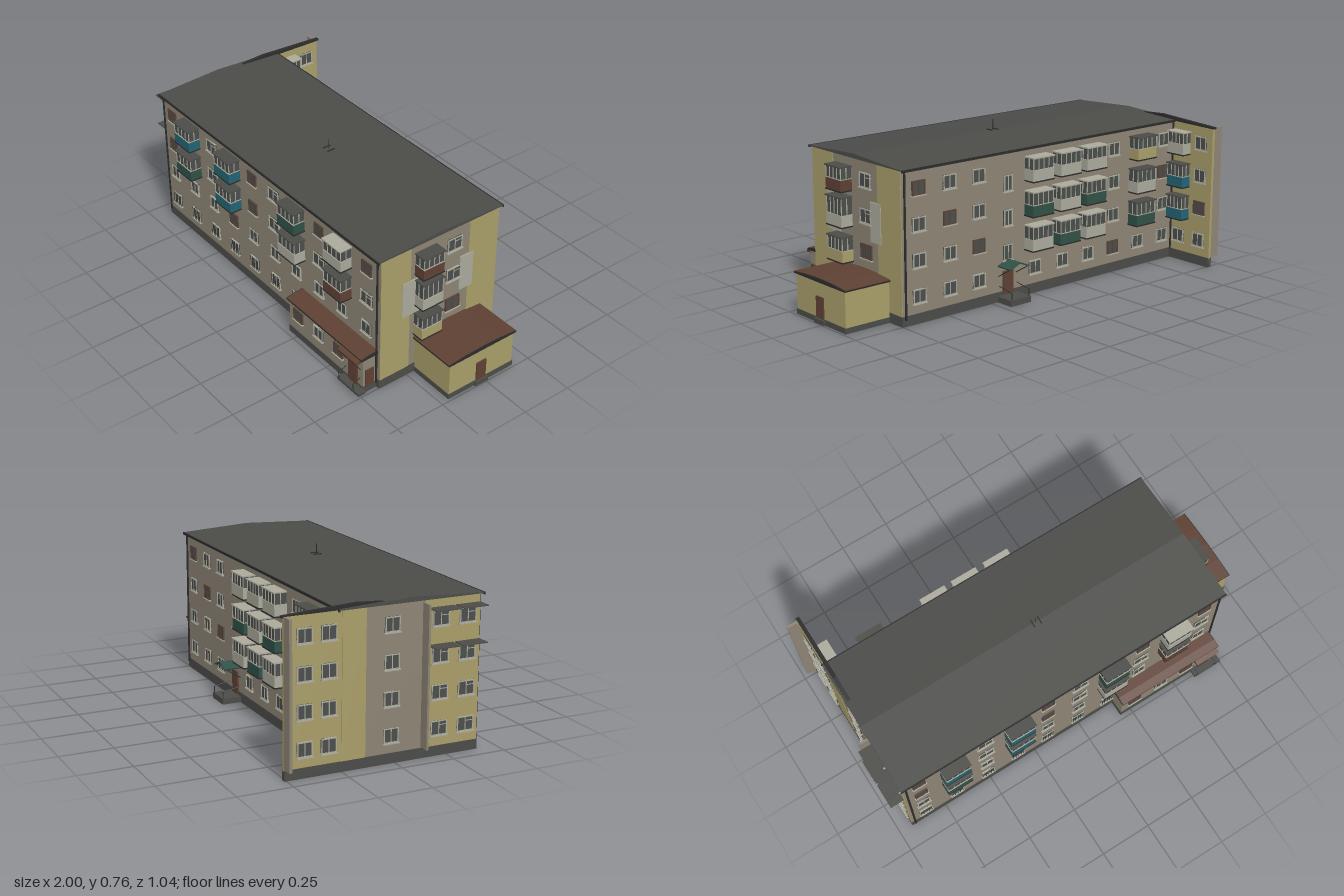
import * as THREE from 'three';

const mat = (name, color) => new THREE.MeshStandardMaterial({ name, color });
const M = {
  wall: mat('greyBeigeWall', 0x8c8474),
  yellow: mat('yellowWall', 0xa89d69),
  roof: mat('greyRoof', 0x4b4c48),
  dark: mat('darkTrim', 0x2b2c2b),
  light: mat('lightPaint', 0xaaa99b),
  glass: mat('windowGlass', 0x4a4e4b),
  brown: mat('brownPaint', 0x5e4033),
  green: mat('greenPaint', 0x2f5046),
  blue: mat('bluePaint', 0x236273),
};

// Box given by its minimum and maximum on each axis
function box(parent, name, m, x0, x1, y0, y1, z0, z1) {
  const mesh = new THREE.Mesh(new THREE.BoxGeometry(x1 - x0, y1 - y0, z1 - z0), m);
  mesh.position.set((x0 + x1) / 2, (y0 + y1) / 2, (z0 + z1) / 2);
  mesh.name = name;
  parent.add(mesh);
  return mesh;
}

// Prism along x from a (z, y) profile
function prism(parent, name, m, pts, x0, x1) {
  const shape = new THREE.Shape(pts.map(p => new THREE.Vector2(p[0], p[1])));
  const geo = new THREE.ExtrudeGeometry(shape, { depth: x1 - x0, bevelEnabled: false });
  geo.rotateY(-Math.PI / 2);
  geo.translate(x1, 0, 0);
  const mesh = new THREE.Mesh(geo, m);
  mesh.name = name;
  parent.add(mesh);
}

// Thin round bar between two points
function rod(parent, name, a, b, r = 0.002, m = M.dark) {
  const p = new THREE.Vector3(...a), q = new THREE.Vector3(...b);
  const mesh = new THREE.Mesh(new THREE.CylinderGeometry(r, r, p.distanceTo(q), 6), m);
  mesh.position.copy(p).lerp(q, 0.5);
  mesh.quaternion.setFromUnitVectors(new THREE.Vector3(0, 1, 0), q.sub(p).normalize());
  mesh.name = name;
  parent.add(mesh);
}

// Window on a facade: u runs along the wall, +z points outward
function windowUnit(f, u, y, frame = M.light, w = 0.076, h = 0.066, bars = false) {
  const g = new THREE.Group();
  g.name = 'window';
  g.position.set(u, y, 0);
  f.add(g);
  const a = w / 2, b = h / 2, t = 0.005;
  box(g, 'pane', M.glass, -a, a, -b, b, 0, 0.005);
  for (const s of [-1, 1]) {
    box(g, 'frameSide', frame, s * (a - t / 2) - t / 2, s * (a - t / 2) + t / 2, -b, b, 0, 0.008);
    box(g, 'frameRail', frame, -a, a, s * (b - t / 2) - t / 2, s * (b - t / 2) + t / 2, 0, 0.0078);
  }
  box(g, 'mullion', frame, -0.002, 0.002, -b, b, 0, 0.007);
  if (w > 0.07) box(g, 'transom', frame, 0, a, b * 0.35, b * 0.35 + 0.003, 0, 0.007);
  box(g, 'sill', M.light, -a - 0.004, a + 0.004, -b - 0.005, -b, 0, 0.012);
  if (bars) for (let i = -2; i <= 2; i++) box(g, 'bar', M.dark, i * 0.014 - 0.001, i * 0.014 + 0.001, -b, b, 0.008, 0.01);
}

// Glazed balcony with a painted parapet
function balcony(f, u, y0, y1, paint, top = M.roof, w = 0.125, d = 0.06) {
  const g = new THREE.Group();
  g.name = 'balcony';
  g.position.set(u, 0, 0);
  f.add(g);
  const a = w / 2, p = y0 + 0.052;
  box(g, 'slab', M.dark, -a - 0.002, a + 0.002, y0 - 0.003, y0 + 0.003, 0, d + 0.002);
  box(g, 'parapet', paint, -a, a, y0 + 0.003, p, 0, d);
  box(g, 'glazing', M.glass, -a + 0.003, a - 0.003, p, y1 - 0.005, 0, d - 0.003);
  box(g, 'handrail', M.light, -a, a, p, p + 0.003, 0, d + 0.001);
  for (let i = 0; i <= 4; i++) {
    const x = -a + 0.002 + i * (w - 0.004) / 4;
    box(g, 'post', M.light, x - 0.0015, x + 0.0015, p, y1 - 0.005, d - 0.004, d);
  }
  for (const s of [-1, 1]) box(g, 'sidePost', M.light, s * a - 0.0015, s * a + 0.0015, p, y1 - 0.005, d / 2 - 0.002, d / 2 + 0.002);
  box(g, 'balconyRoof', top, -a - 0.003, a + 0.003, y1 - 0.006, y1, 0, d + 0.005);
}

export function createModel() {
  const root = new THREE.Group();
  root.name = 'apartmentBlock';
  const facade = (name, x, z, ry) => {
    const g = new THREE.Group();
    g.name = name;
    g.position.set(x, 0, z);
    g.rotation.y = ry;
    root.add(g);
    return g;
  };
  const floors = [0.605, 0.445, 0.285, 0.125];
  const lows = [0.54, 0.378, 0.217], tops = [0.652, 0.495, 0.335];
  const cols = [-0.85, -0.68, -0.51, -0.345, -0.18, -0.01, 0.155, 0.325, 0.49, 0.66];

  // Main block, plinth and low gabled roof
  box(root, 'mainBlock', M.wall, -0.93, 0.75, 0.04, 0.69, -0.25, 0.4);
  box(root, 'plinth', M.roof, -0.933, 0.753, 0, 0.046, -0.253, 0.403);
  prism(root, 'mainRoof', M.roof, [[-0.265, 0.69], [0.415, 0.69], [0.415, 0.694], [0.075, 0.711], [-0.265, 0.694]], -0.938, 0.758);
  for (const z of [-0.27, 0.415]) box(root, 'eave', M.dark, -0.94, 0.76, 0.684, 0.695, z, z + 0.005);
  for (const x of [-0.055, -0.02]) box(root, 'vent', M.dark, x, x + 0.004, 0.7, 0.715, 0.055, 0.095);
  rod(root, 'antenna', [-0.04, 0.7, 0.075], [-0.04, 0.76, 0.075], 0.0015);
  for (const x of [-0.915, 0.737]) for (const z of [-0.257, 0.408])
    rod(root, 'drainpipe', [x, 0.03, z], [x, 0.685, z], 0.005);

  // Thin wing wall continuing the left end to the rear
  box(root, 'wingWall', M.yellow, -0.93, -0.915, 0.04, 0.69, -0.51, -0.25);
  box(root, 'wingPlinth', M.roof, -0.933, -0.91, 0, 0.046, -0.51, -0.25);
  prism(root, 'wingRoofEdge', M.dark, [[-0.52, 0.685], [-0.05, 0.694], [-0.05, 0.704], [-0.18, 0.712], [-0.52, 0.694]], -0.928, -0.91);
  box(root, 'rearFin', M.wall, -0.98, -0.93, 0.05, 0.69, -0.51, -0.497);
  box(root, 'middleFin', M.wall, -0.98, -0.93, 0.05, 0.68, 0.125, 0.135);

  // Front facade
  const front = facade('frontFacade', 0, 0.4, 0);
  const frontBalconies = { 1: [M.blue, M.green], 3: [M.blue, M.blue], 6: [M.green, M.light], 8: [M.light, M.brown] };
  const frontBrown = ['0', '4', '7', '9'].map(c => c + '0').concat(['01', '41', '32']);
  cols.forEach((x, c) => floors.forEach((y, r) => {
    if (frontBalconies[c] && r < 2) {
      balcony(front, x, lows[r], tops[r], frontBalconies[c][r], c === 8 && r === 0 ? M.light : M.roof);
    } else if (r < 3 || c < 7) {
      const brown = frontBrown.includes('' + c + r);
      windowUnit(front, x, y, brown ? M.brown : M.light, brown || r > 1 ? 0.064 : 0.078, 0.064, r === 3);
    }
  }));

  // Rear facade, with balconies, stair windows and a door
  const back = facade('rearFacade', 0, -0.25, Math.PI);
  const backBalconies = { 1: [M.yellow, M.light, M.green], 3: [M.light, M.green, M.light], 4: [M.light, M.light, M.green], 5: [M.light, M.green, M.light] };
  cols.forEach((x, c) => floors.forEach((y, r) => {
    if (c === 6) {
      if (r < 3) windowUnit(back, -x, y - 0.06, M.light, 0.05, 0.075);
    } else if (backBalconies[c] && r < 3) {
      balcony(back, -x, lows[r], tops[r], backBalconies[c][r], c === 1 ? M.roof : M.light);
    } else {
      windowUnit(back, -x, y, (c + r) % 4 === 1 ? M.brown : M.light, 0.07, 0.064);
    }
  }));
  box(back, 'rearDoor', M.brown, -0.185, -0.125, 0.03, 0.14, 0, 0.008);
  box(back, 'rearStep', M.roof, -0.215, -0.095, 0, 0.028, 0, 0.095);
  for (const s of [-1, 1]) {
    const slope = box(back, 'rearCanopy', M.green, -0.032, 0.032, -0.003, 0.003, 0, 0.085);
    slope.position.set(-0.155 + s * 0.028, 0.18, 0.043);
    slope.rotation.z = -s * 0.4;
    const x = -0.155 + s * 0.052;
    rod(back, 'canopyStrut', [x, 0.12, 0], [x, 0.168, 0.08]);
    rod(back, 'rearRail', [x, 0.075, 0.005], [x, 0.06, 0.09]);
    rod(back, 'rearRailPost', [x, 0.02, 0.09], [x, 0.06, 0.09]);
  }

  // Right end: yellow edges, repair patches, balconies and windows
  const right = facade('rightEnd', 0.75, 0, Math.PI / 2);
  box(right, 'yellowBand', M.yellow, -0.4, -0.24, 0.046, 0.69, 0, 0.003);
  box(right, 'yellowBand', M.yellow, 0.085, 0.25, 0.046, 0.69, 0, 0.003);
  box(right, 'palePatch', M.light, -0.285, -0.19, 0.337, 0.517, 0, 0.006);
  box(right, 'palePatch', M.light, 0.035, 0.11, 0.337, 0.517, 0, 0.006);
  [M.brown, M.light, M.yellow].forEach((p, r) => {
    balcony(right, -0.16, lows[r], r === 1 ? 0.515 : tops[r], p, M.roof, 0.113);
    windowUnit(right, 0, floors[r], r === 2 ? M.brown : M.light, 0.08);
  });

  // Inner side of the wing wall
  const wing = facade('wingInnerFacade', -0.915, 0, Math.PI / 2);
  [M.light, M.blue, M.blue].forEach((p, r) => balcony(wing, 0.322, lows[r], tops[r], p, r ? M.roof : M.light, 0.1, 0.053));
  floors.forEach((y, r) => windowUnit(wing, 0.44, y, r === 2 ? M.brown : M.light, 0.07));
  windowUnit(wing, 0.31, 0.125, M.light, 0.07);

  // Left end
  const left = facade('leftEnd', -0.93, 0, -Math.PI / 2);
  box(left, 'yellowBand', M.yellow, -0.25, -0.14, 0.046, 0.69, 0, 0.003);
  box(left, 'yellowBand', M.yellow, 0.135, 0.4, 0.046, 0.69, 0, 0.003);
  floors.forEach(y => {
    windowUnit(left, -0.42, y, M.light, 0.07);
    windowUnit(left, -0.31, y, M.light, 0.07);
    windowUnit(left, -0.02, y, M.light, 0.07);
    for (const u of [0.21, 0.34]) windowUnit(left, u, y, M.light, 0.08);
  });
  for (const y of [0.655, 0.495]) for (const u of [0.15, 0.28])
    box(left, 'sideCanopy', M.roof, u, u + 0.12, y - 0.004, y, 0, 0.07);

  // Right annex with an arched roof
  box(root, 'sideAnnex', M.yellow, 0.75, 0.985, 0.02, 0.193, -0.16, 0.205);
  box(root, 'sideAnnexBase', M.roof, 0.75, 0.988, 0, 0.025, -0.163, 0.208);
  const arch = (lo, hi) => [[-0.17, lo], [0.215, lo], [0.215, hi], [0.12, hi + 0.008], [0.022, hi + 0.011], [-0.075, hi + 0.008], [-0.17, hi]];
  prism(root, 'sideAnnexRoofEdge', M.dark, arch(0.187, 0.194), 0.75, 0.992);
  prism(root, 'sideAnnexRoof', M.brown, arch(0.19, 0.196), 0.75, 0.988);
  box(root, 'sideAnnexDoor', M.brown, 0.985, 0.991, 0.025, 0.122, -0.002, 0.052);
  box(root, 'sideAnnexStep', M.roof, 0.985, 0.998, 0, 0.022, -0.012, 0.06);

  // Front annex with porch
  box(root, 'frontAnnex', M.wall, 0.195, 0.73, 0.03, 0.19, 0.4, 0.475);
  box(root, 'frontAnnexBase', M.roof, 0.192, 0.733, 0, 0.035, 0.4, 0.478);
  const lean = d => [[0.4, 0.186], [0.488, 0.184], [0.488, 0.192 + d], [0.45, 0.2 + d], [0.4, 0.204 + d]];
  prism(root, 'frontAnnexRoofEdge', M.dark, lean(0), 0.188, 0.737);
  prism(root, 'frontAnnexRoof', M.brown, lean(0.002), 0.192, 0.733);
  const annex = facade('frontAnnexFace', 0, 0.475, 0);
  [0.265, 0.415, 0.56].forEach((x, i) => windowUnit(annex, x, 0.13, i === 1 ? M.light : M.brown, 0.066, 0.062));
  box(annex, 'frontDoor', M.brown, 0.635, 0.695, 0.025, 0.155, 0, 0.008);
  box(root, 'annexSideDoor', M.brown, 0.73, 0.736, 0.03, 0.122, 0.418, 0.463);
  const canopy = box(annex, 'porchCanopy', M.brown, 0.6, 0.725, 0.17, 0.186, -0.01, 0.035);
  canopy.rotation.x = 0.25;
  box(annex, 'porchStep', M.roof, 0.6, 0.75, 0.012, 0.026, 0, 0.04);
  box(annex, 'porchLowStep', M.roof, 0.62, 0.74, 0, 0.014, 0, 0.03);
  for (const x of [0.612, 0.713]) {
    rod(annex, 'porchStrut', [x, 0.12, 0], [x, 0.168, 0.03]);
    rod(annex, 'porchRail', [x, 0.075, 0], [x, 0.06, 0.042]);
    rod(annex, 'porchRailPost', [x, 0.015, 0.038], [x, 0.06, 0.042]);
  }
  return root;
}
